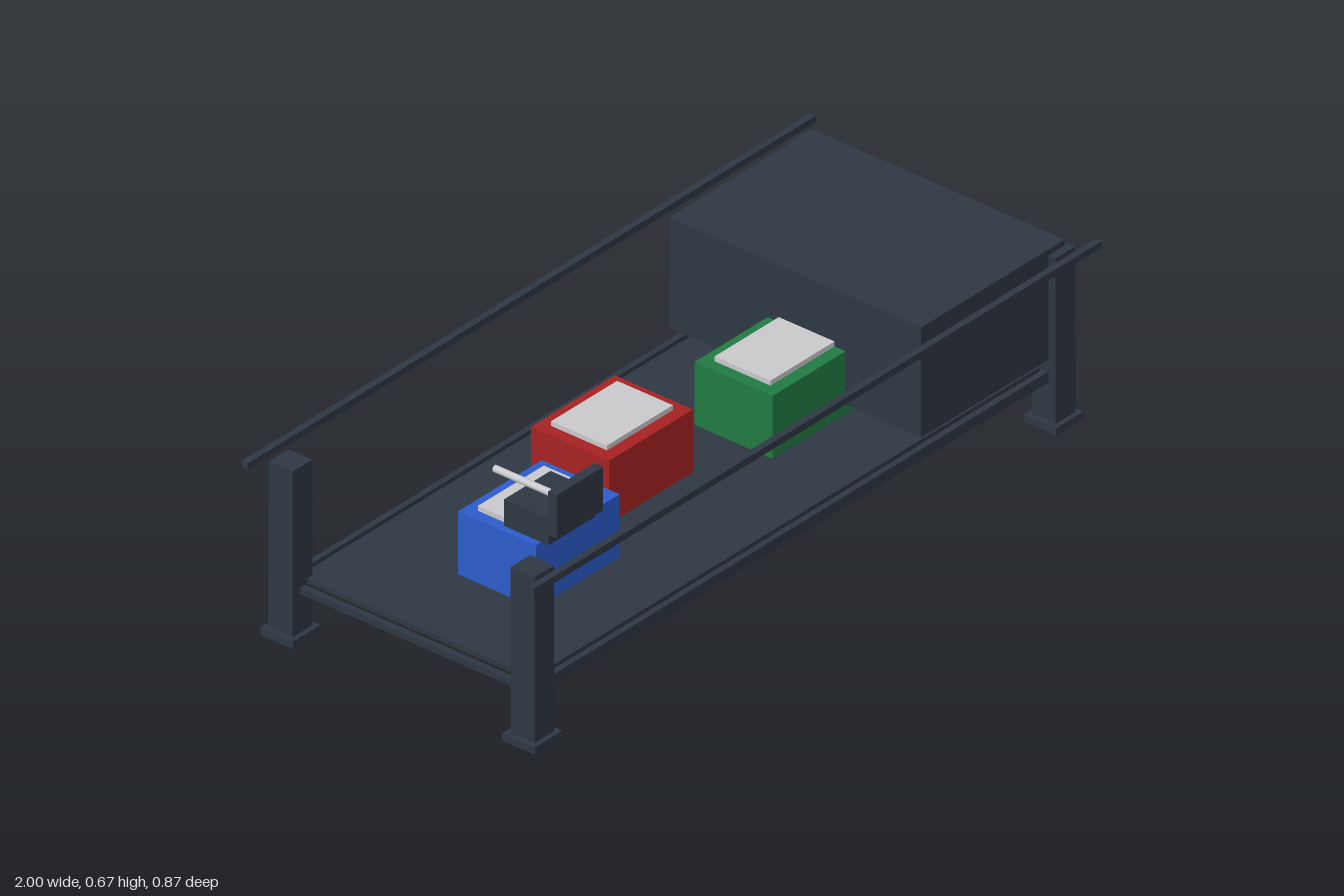
import * as THREE from 'three';

const paint = (name, color) => {
  const m = new THREE.MeshStandardMaterial({ color });
  m.name = name;
  return m;
};

export function createModel() {
  const root = new THREE.Group();
  root.name = 'packingConveyor';
  const slate = paint('slate', 0x2e3743);
  const silver = paint('silver', 0xc9c9cc);

  // Box given by its extents along each axis
  const box = (name, mat, [x0, x1], [y0, y1], [z0, z1], parent = root) => {
    const mesh = new THREE.Mesh(new THREE.BoxGeometry(x1 - x0, y1 - y0, z1 - z0), mat);
    mesh.position.set((x0 + x1) / 2, (y0 + y1) / 2, (z0 + z1) / 2);
    mesh.name = name;
    parent.add(mesh);
    return mesh;
  };
  const around = (c, size) => [c - size / 2, c + size / 2];

  // Bed
  box('belt', slate, [-0.9, 0.9], [0.139, 0.152], [-0.347, 0.347]);

  // Legs with foot plates
  for (const x of [-0.918, 0.918]) {
    for (const z of [-0.36, 0.36]) {
      box('leg', slate, around(x, 0.07), [0.02, 0.46], around(z, 0.071));
      box('foot', slate, around(x, 0.097), [0, 0.02], around(z, 0.097));
    }
  }

  // Frame around the bed and raised guide rails
  for (const s of [-1, 1]) {
    box('sideRail', slate, [-0.9, 0.9], [0.123, 0.152], around(s * 0.367, 0.016));
    box('endRail', slate, around(s * 0.918, 0.016), [0.123, 0.14], [-0.36, 0.36]);
    box('guideRail', slate, [-1, 1], [0.45, 0.468], around(s * 0.426, 0.018));
  }

  // Tunnel housing
  box('tunnel', slate, [0.434, 0.939], [0.183, 0.476], [-0.375, 0.375]);

  // Parcels with pale lids
  const parcels = [
    ['blue', 0x2b5bcb, -0.525, 0.047],
    ['red', 0xa62222, -0.133, -0.066],
    ['green', 0x217a42, 0.324, 0.034],
  ];
  for (const [name, color, x, z] of parcels) {
    const parcel = new THREE.Group();
    parcel.name = name + 'Parcel';
    root.add(parcel);
    box('carton', paint(name, color), around(x, 0.295), [0.158, 0.325], around(z, 0.232), parcel);
    box('lid', silver, around(x, 0.232), [0.325, 0.338], around(z, 0.166), parcel);
  }

  // Hovering sensor: body, back plate and probe
  const sensor = new THREE.Group();
  sensor.name = 'sensor';
  root.add(sensor);
  box('sensorBody', slate, [-0.902, -0.739], [0.522, 0.593], [0.263, 0.395], sensor);
  box('sensorPlate', slate, [-0.902, -0.739], [0.55, 0.665], [0.394, 0.42], sensor);
  const probe = new THREE.Mesh(new THREE.CylinderGeometry(0.009, 0.009, 0.18, 16), silver);
  probe.rotation.x = Math.PI / 2;
  probe.position.set(-0.82, 0.599, 0.256);
  probe.name = 'probe';
  sensor.add(probe);

  return root;
}
